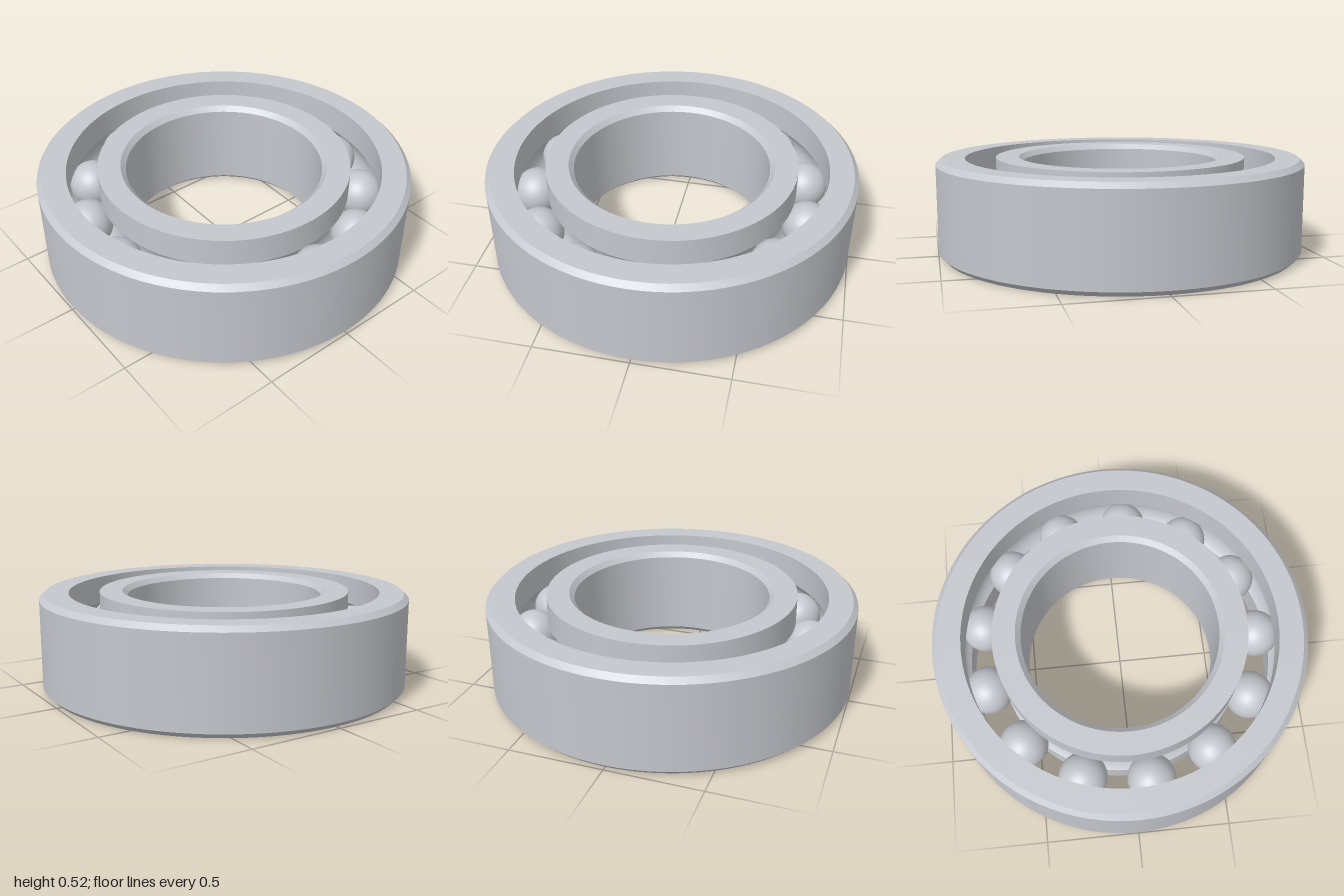
import * as THREE from 'three';
import { toCreasedNormals } from 'three/addons/utils/BufferGeometryUtils.js';

const HEIGHT = 0.52, MID = HEIGHT / 2, CHAMFER = 0.027;
const PITCH = 0.76, BALL_R = 0.13, BALLS = 13;
const GROOVE_R = 0.133;

// Arc of the ball groove cut into a wall of radius r, running up (1) or down (-1)
function groove(r, dir) {
  const dx = r - PITCH;
  const half = Math.acos(Math.abs(dx) / GROOVE_R);
  const points = [];
  for (let i = 0; i <= 16; i++) {
    const a = dir * half * (i / 8 - 1);
    points.push([PITCH + Math.sign(dx) * GROOVE_R * Math.cos(a), MID + GROOVE_R * Math.sin(a)]);
  }
  return points;
}

// Ring turned from a closed counterclockwise profile of [radius, y]
function ring(name, profile, material) {
  const points = [...profile, profile[0]].map(([r, y]) => new THREE.Vector2(r, y));
  const mesh = new THREE.Mesh(toCreasedNormals(new THREE.LatheGeometry(points, 96), 0.5), material);
  mesh.name = name;
  return mesh;
}

export function createModel() {
  const model = new THREE.Group();
  model.name = 'ballBearing';
  const steel = new THREE.MeshStandardMaterial({ color: 0xc4c7cd });
  steel.name = 'steel';

  // Outer ring: chamfered outside, grooved inside
  model.add(ring('outerRing', [
    [0.845, 0], [1 - CHAMFER, 0], [1, CHAMFER],
    [1, HEIGHT - CHAMFER], [1 - CHAMFER, HEIGHT], [0.845, HEIGHT],
    ...groove(0.845, -1),
  ], steel));

  // Inner ring: grooved outside, chamfered bore
  model.add(ring('innerRing', [
    [0.53 + CHAMFER, 0], [0.68, 0],
    ...groove(0.68, 1),
    [0.68, HEIGHT], [0.53 + CHAMFER, HEIGHT],
    [0.53, HEIGHT - CHAMFER], [0.53, CHAMFER],
  ], steel));

  // Balls, evenly spaced from +x
  const balls = new THREE.Group();
  balls.name = 'balls';
  const ballGeometry = new THREE.SphereGeometry(BALL_R, 40, 24);
  for (let i = 0; i < BALLS; i++) {
    const a = (i / BALLS) * Math.PI * 2;
    const ball = new THREE.Mesh(ballGeometry, steel);
    ball.name = 'ball';
    ball.position.set(PITCH * Math.cos(a), MID, PITCH * Math.sin(a));
    balls.add(ball);
  }
  model.add(balls);
  return model;
}
